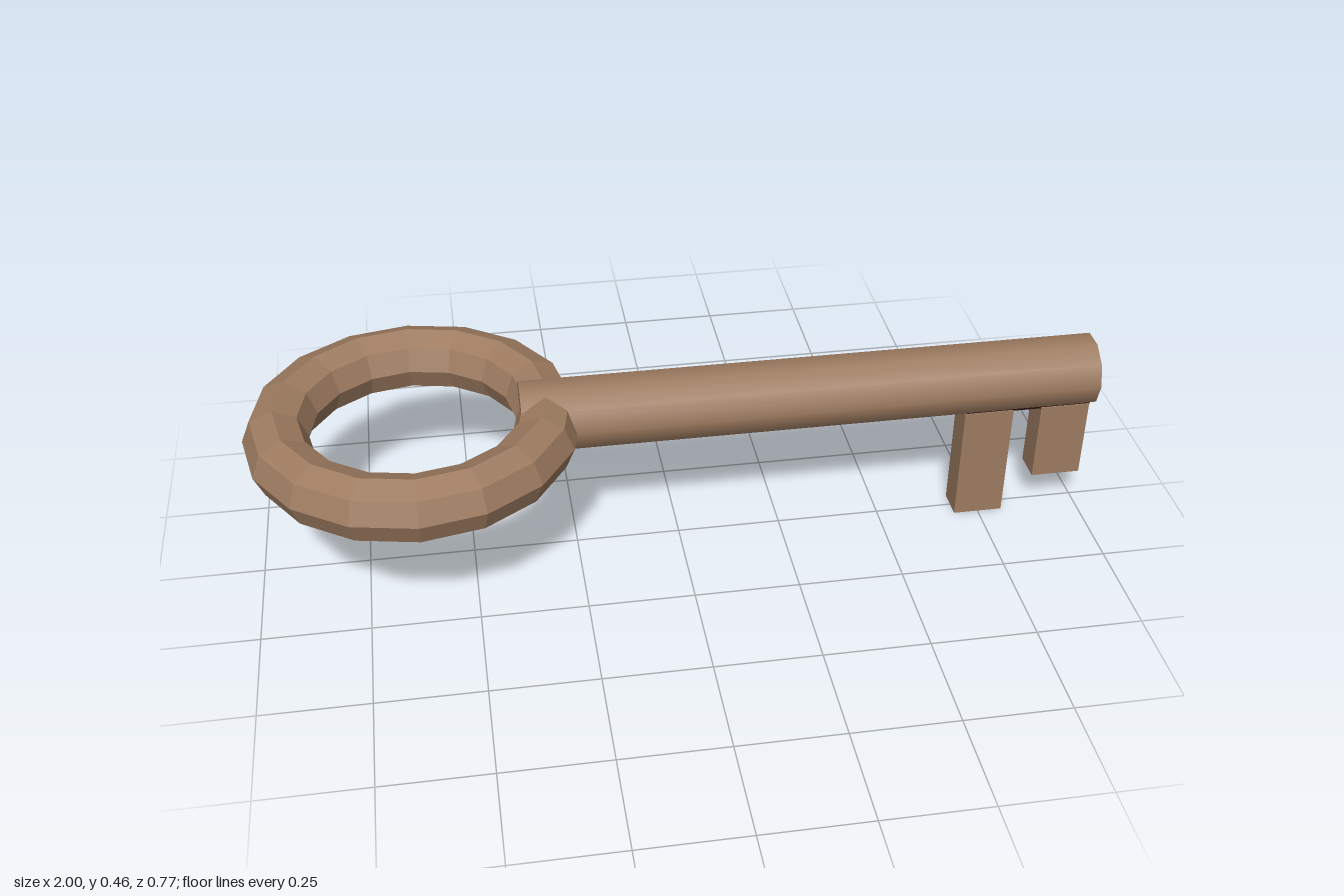
import * as THREE from 'three';

const brass = new THREE.MeshStandardMaterial({ color: 0x9d7b60, flatShading: true });
brass.name = 'brown metal';
const brassSmooth = new THREE.MeshStandardMaterial({ color: 0x9d7b60 });
brassSmooth.name = 'brown metal smooth';
const dark = new THREE.MeshStandardMaterial({ color: 0x220e0c });
dark.name = 'dark recess';

const AXIS_Y = 0.375; // height of the shaft and ring centre line

function add(group, name, geometry, material, x, y, z = 0) {
  const mesh = new THREE.Mesh(geometry, material);
  mesh.name = name;
  mesh.position.set(x, y, z);
  group.add(mesh);
  return mesh;
}

export function createModel() {
  const key = new THREE.Group();
  key.name = 'key';

  // Faceted ring handle lying flat
  const ring = new THREE.TorusGeometry(0.31, 0.075, 8, 16).rotateX(Math.PI / 2);
  add(key, 'ringHandle', ring, brass, -0.615, AXIS_Y);

  // Ten-sided shaft running along x into the ring
  const start = -0.37, end = 1;
  const shaft = new THREE.CylinderGeometry(0.087, 0.087, end - start, 10).rotateZ(Math.PI / 2);
  add(key, 'shaft', shaft, brassSmooth, (start + end) / 2, AXIS_Y);

  // Teeth hanging below the shaft: centre x and bottom height
  const top = 0.295;
  for (const [name, x, bottom] of [['longTooth', 0.75, 0], ['shortTooth', 0.9395, 0.095]]) {
    const tooth = new THREE.BoxGeometry(0.12, top - bottom, 0.073);
    add(key, name, tooth, brass, x, (top + bottom) / 2);
  }

  // Dark bar joining the teeth, sunk into the underside of the shaft
  add(key, 'toothBar', new THREE.BoxGeometry(0.309, 0.021, 0.066), dark, 0.847, 0.3025);

  return key;
}
